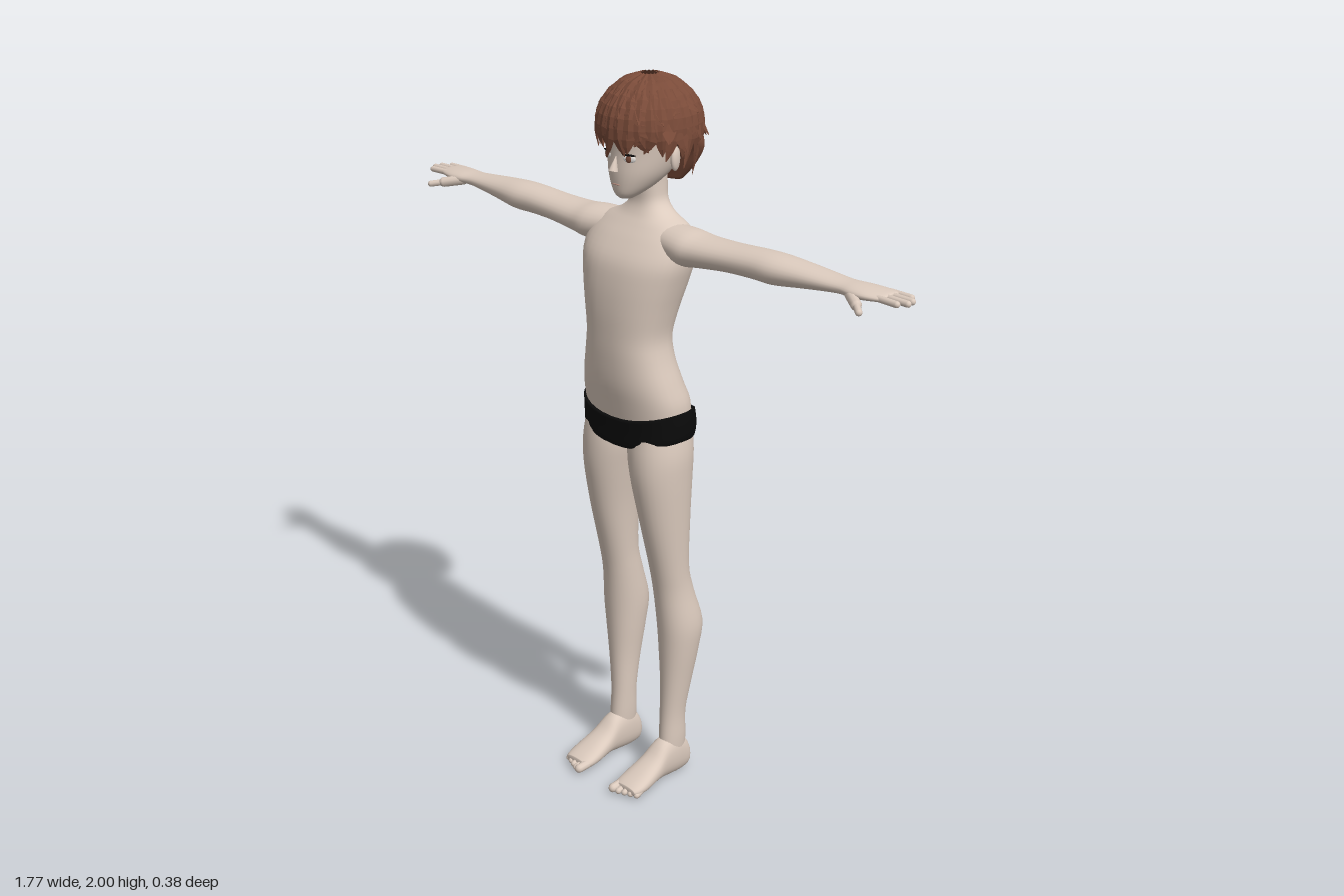
import * as THREE from 'three';

const mat = (name, color, side = THREE.FrontSide) => {
  const m = new THREE.MeshStandardMaterial({ color, side });
  m.name = name;
  return m;
};

// Small seeded generator for the hair
function seeded(seed) {
  return () => {
    seed = (seed * 16807) % 2147483647;
    return seed / 2147483647;
  };
}

// Smooth in-between value through four samples
const spline = (a, b, c, d, t) =>
  0.5 * (2 * b + (c - a) * t + (2 * a - 5 * b + 4 * c - d) * t * t + (3 * b - a - 3 * c + d) * t * t * t);

// Skins rounded sections along an axis; each row is [t, uMin, uMax, vMin, vMax].
// Axis y uses (u, v) = (x, z), axis x uses (z, y), axis z uses (y, x).
const AXES = {
  y: (t, u, v) => [u, t, v],
  x: (t, u, v) => [t, v, u],
  z: (t, u, v) => [v, u, t],
};
function loft(axis, rows, power = 2, sides = 28, sub = 4) {
  const rings = [];
  const last = rows.length - 1;
  for (let i = 0; i < last; i++) {
    for (let s = 0; s < sub; s++) {
      rings.push(rows[i].map((_, k) => spline(
        rows[Math.max(i - 1, 0)][k], rows[i][k], rows[i + 1][k], rows[Math.min(i + 2, last)][k], s / sub)));
    }
  }
  rings.push(rows[last]);
  const pos = [], idx = [];
  const place = AXES[axis];
  const bend = (v) => Math.sign(v) * Math.abs(v) ** (2 / power);
  for (const [t, u0, u1, v0, v1] of rings) {
    for (let j = 0; j < sides; j++) {
      const a = (j / sides) * Math.PI * 2;
      pos.push(...place(t, (u0 + u1) / 2 + bend(Math.cos(a)) * (u1 - u0) / 2,
        (v0 + v1) / 2 + bend(Math.sin(a)) * (v1 - v0) / 2));
    }
  }
  const n = rings.length;
  for (let i = 0; i < n - 1; i++) {
    for (let j = 0; j < sides; j++) {
      const k = (j + 1) % sides;
      const a = i * sides + j, b = i * sides + k, c = a + sides, d = b + sides;
      idx.push(a, c, b, b, c, d);
    }
  }
  // End caps
  [rings[0], rings[n - 1]].forEach(([t, u0, u1, v0, v1], e) => {
    const hub = pos.length / 3, base = e * (n - 1) * sides;
    pos.push(...place(t, (u0 + u1) / 2, (v0 + v1) / 2));
    for (let j = 0; j < sides; j++) {
      const a = base + j, b = base + (j + 1) % sides;
      idx.push(...(e ? [hub, b, a] : [hub, a, b]));
    }
  });
  const g = new THREE.BufferGeometry();
  g.setAttribute('position', new THREE.Float32BufferAttribute(pos, 3));
  g.setIndex(idx);
  g.computeVertexNormals();
  return g;
}

// Rounded rod between two points
function rod(a, b, r) {
  const p = new THREE.Vector3(...a), q = new THREE.Vector3(...b);
  const dir = q.clone().sub(p);
  const g = new THREE.CapsuleGeometry(r, dir.length(), 4, 10);
  g.applyQuaternion(new THREE.Quaternion().setFromUnitVectors(new THREE.Vector3(0, 1, 0), dir.normalize()));
  return g.translate(...p.add(q).multiplyScalar(0.5).toArray());
}

function mirrored(geometry) {
  const g = geometry.clone().scale(-1, 1, 1);
  const ix = g.index.array;
  for (let i = 0; i < ix.length; i += 3) [ix[i], ix[i + 1]] = [ix[i + 1], ix[i]];
  return g;
}

// Tapered, faceted hair lock following a curve
function lock(points, width, thick) {
  const curve = new THREE.CatmullRomCurve3(points);
  const pos = [], idx = [], n = 7;
  for (let i = 0; i <= n; i++) {
    const t = i / n, p = curve.getPoint(t), tan = curve.getTangent(t);
    const out = p.clone().sub(new THREE.Vector3(0, 1.84, -0.03)).normalize();
    const side = new THREE.Vector3().crossVectors(tan, out).normalize();
    const w = 0.001 + width * Math.sin(Math.PI * Math.min(1, 0.25 + 0.75 * t)) ** 0.8;
    const h = 0.001 + thick * (1 - t);
    for (const [s, o] of [[w, 0], [0, h], [-w, 0], [0, -h]]) {
      pos.push(...p.clone().addScaledVector(side, s).addScaledVector(out, o).toArray());
    }
  }
  for (let i = 0; i < n; i++) {
    for (let j = 0; j < 4; j++) {
      const a = i * 4 + j, b = i * 4 + (j + 1) % 4;
      idx.push(a, b, a + 4, b, b + 4, a + 4);
    }
  }
  const g = new THREE.BufferGeometry();
  g.setAttribute('position', new THREE.Float32BufferAttribute(pos, 3));
  g.setIndex(idx);
  const flat = g.toNonIndexed();
  flat.computeVertexNormals();
  return flat;
}

export function createModel() {
  const model = new THREE.Group();
  const skin = mat('skin', 0xdccbbe);
  const hairBrown = mat('hair brown', 0x7a4b39, THREE.DoubleSide);
  const black = mat('black cloth', 0x0b0b0b);
  const white = mat('eye white', 0xeeeae6);
  const lip = mat('lip', 0xb58a7c);

  const add = (name, geometry, material) => {
    const m = new THREE.Mesh(geometry, material);
    m.name = name;
    model.add(m);
    return m;
  };
  const pair = (name, geometry, material) => {
    add(name + 'Left', geometry, material);
    add(name + 'Right', mirrored(geometry), material);
  };

  // Torso and neck
  const torso = [
    [1.07, .162, -.092, .1], [1.14, .165, -.09, .114], [1.2, .152, -.07, .125], [1.27, .133, -.052, .13],
    [1.33, .125, -.05, .131], [1.4, .138, -.065, .13], [1.47, .157, -.083, .123], [1.53, .172, -.093, .108],
    [1.58, .17, -.093, .075], [1.615, .14, -.088, .045], [1.64, .085, -.08, .025], [1.67, .053, -.075, .012],
    [1.71, .047, -.075, .012], [1.76, .047, -.075, .015],
  ].map(([y, w, b, f]) => [y, -w, w, b, f]);
  add('torso', loft('y', torso, 2.3, 36), skin);

  // Briefs, rising toward the hips
  const briefs = loft('y', [
    [1.015, -.155, .155, -.085, .095], [1.025, -.169, .169, -.097, .107],
    [1.06, -.172, .172, -.104, .109], [1.1, -.17, .17, -.1, .112],
  ], 2.5, 36);
  const bp = briefs.attributes.position;
  for (let i = 0; i < bp.count; i++) bp.setY(i, bp.getY(i) + 0.028 * (bp.getX(i) / 0.17) ** 2);
  briefs.computeVertexNormals();
  add('briefs', briefs, black);

  // Legs
  pair('leg', loft('y', [
    [.06, .075, .128, -.068, .018], [.12, .07, .132, -.07, .015], [.2, .068, .133, -.068, .01],
    [.3, .064, .145, -.085, .01], [.4, .055, .159, -.104, .014], [.48, .05, .165, -.114, .02],
    [.58, .05, .154, -.085, .03], [.66, .049, .153, -.067, .045], [.8, .038, .16, -.07, .078],
    [.92, .02, .167, -.077, .1], [1.0, .006, .169, -.083, .103], [1.07, .006, .16, -.083, .095],
  ], 2.1), skin);

  // Feet and toes
  pair('foot', loft('z', [
    [-.088, .025, .05, .09, .113], [-.075, .006, .09, .076, .125], [-.04, 0, .125, .07, .131],
    [.015, .004, .12, .066, .136], [.06, .01, .082, .06, .144], [.11, .003, .055, .055, .15],
    [.145, .003, .038, .057, .148], [.16, .01, .03, .065, .14],
  ], 2.3), skin);
  for (let i = 0; i < 5; i++) {
    const x = 0.07 + i * 0.0175, r = i ? 0.009 : 0.013;
    pair('toe' + (i + 1), rod([x, .02, .13], [x + .001, r + .003, .178 - i * .007 - (i ? 0 : .003)], r), skin);
  }

  // Arms and palms
  pair('arm', loft('x', [
    [.09, -.08, .04, 1.54, 1.625], [.17, -.081, .055, 1.53, 1.625], [.23, -.077, .05, 1.537, 1.619],
    [.32, -.07, .044, 1.547, 1.62], [.41, -.069, .042, 1.55, 1.625], [.48, -.07, .043, 1.55, 1.626],
    [.56, -.067, .032, 1.56, 1.62], [.64, -.06, .022, 1.57, 1.613], [.69, -.055, .019, 1.575, 1.61],
    [.73, -.061, .026, 1.575, 1.61], [.77, -.067, .025, 1.579, 1.608], [.81, -.066, .012, 1.583, 1.604],
    [.82, -.058, .004, 1.588, 1.6],
  ], 2.1, 24), skin);

  // Fingers and thumb
  [.868, .884, .88, .86].forEach((tip, i) => {
    const z = 0.002 - i * 0.02;
    pair('finger' + (i + 1), rod([.79, 1.594, z], [tip - .008, 1.593, z + .003 - i * .001], .0085), skin);
  });
  pair('thumbBase', rod([.72, 1.588, .008], [.768, 1.578, .04], .014), skin);
  pair('thumbTip', rod([.768, 1.578, .04], [.797, 1.572, .064], .009), skin);

  // Head, nose and ears
  add('head', loft('y', [
    [1.688, -.018, .018, .03, .07], [1.7, -.034, .034, .0, .081], [1.725, -.056, .056, -.05, .086],
    [1.76, -.076, .076, -.095, .088], [1.81, -.09, .09, -.125, .086], [1.87, -.098, .098, -.14, .09],
    [1.92, -.09, .09, -.13, .08], [1.965, -.05, .05, -.085, .035],
  ], 2.1, 32), skin);
  const nose = new THREE.ConeGeometry(.012, .042, 8).scale(1, 1, 1.2);
  add('nose', nose.rotateX(-.25).translate(0, 1.783, .09), skin);
  const ear = new THREE.SphereGeometry(1, 14, 10).scale(.01, .032, .019);
  pair('ear', ear.rotateY(.3).translate(.094, 1.79, -.032), skin);

  // Thin face details
  const disc = (w, h, d, x, y, z) => new THREE.SphereGeometry(1, 14, 8).scale(w, h, d).rotateY(x * 9).translate(x, y, z);
  pair('eyeWhite', disc(.018, .01, .004, .04, 1.798, .077), white);
  pair('iris', disc(.008, .0095, .003, .04, 1.798, .0805), hairBrown);
  pair('lash', disc(.02, .0028, .004, .04, 1.808, .079), black);
  add('mouth', disc(.016, .0018, .003, 0, 1.727, .0855), lip);

  // Hair cap
  add('hairCap', loft('y', [
    [1.72, -.055, .055, -.115, -.07], [1.76, -.09, .09, -.14, -.06], [1.81, -.118, .118, -.16, -.035],
    [1.85, -.126, .126, -.165, .055], [1.885, -.127, .127, -.163, .098], [1.93, -.115, .115, -.145, .088],
    [1.965, -.083, .083, -.115, .055], [1.985, -.035, .035, -.065, .005],
  ], 2, 28), hairBrown);

  // Layered locks swept from the crown
  const rnd = seeded(77);
  const hair = new THREE.Group();
  hair.name = 'hairLocks';
  model.add(hair);
  const onHead = (az, el, k = 1) => new THREE.Vector3(
    Math.sin(az) * Math.cos(el) * .132 * k, 1.855 + Math.sin(el) * .135 * k, -.032 + Math.cos(az) * Math.cos(el) * .136 * k);
  const sweep = (az, tipY, flare, startEl, width) => {
    const tipAz = az + (rnd() - .5) * .35;
    const tip = onHead(tipAz, 0, flare).setY(tipY);
    const midEl = Math.max(.02, Math.asin(Math.min(.95, Math.max(0, (tipY - 1.82) / .14))));
    const pts = [onHead(az, startEl, .98), onHead(az, (startEl + midEl) / 2, 1.02), onHead(az, midEl, 1.02), tip];
    hair.add(new THREE.Mesh(lock(pts, width, .012), hairBrown));
  };
  for (let i = 0; i < 30; i++) {
    const az = (i / 30) * Math.PI * 2, c = Math.cos(az);
    // Longest at the nape, shortest over the brow
    const tipY = c > 0 ? 1.775 + .025 * c + rnd() * .025 : 1.775 + .07 * c + rnd() * .03;
    sweep(az, tipY, c > 0 ? 1 - rnd() * .08 : .97 + .3 * c + rnd() * .08, .9, .025);
  }
  for (let i = 0; i < 24; i++) {
    const az = ((i + .5) / 24) * Math.PI * 2;
    sweep(az, 1.815 + rnd() * .04, Math.cos(az) > .5 ? 1.02 : 1.07 + rnd() * .1, 1.15, .028);
  }
  for (let i = 0; i < 16; i++) {
    const az = ((i + .3) / 16) * Math.PI * 2;
    sweep(az, 1.885 + rnd() * .03, 1.0 + rnd() * .08, 1.4, .03);
  }
  hair.children.forEach((m, i) => { m.name = 'lock' + (i + 1); });

  return model;
}
